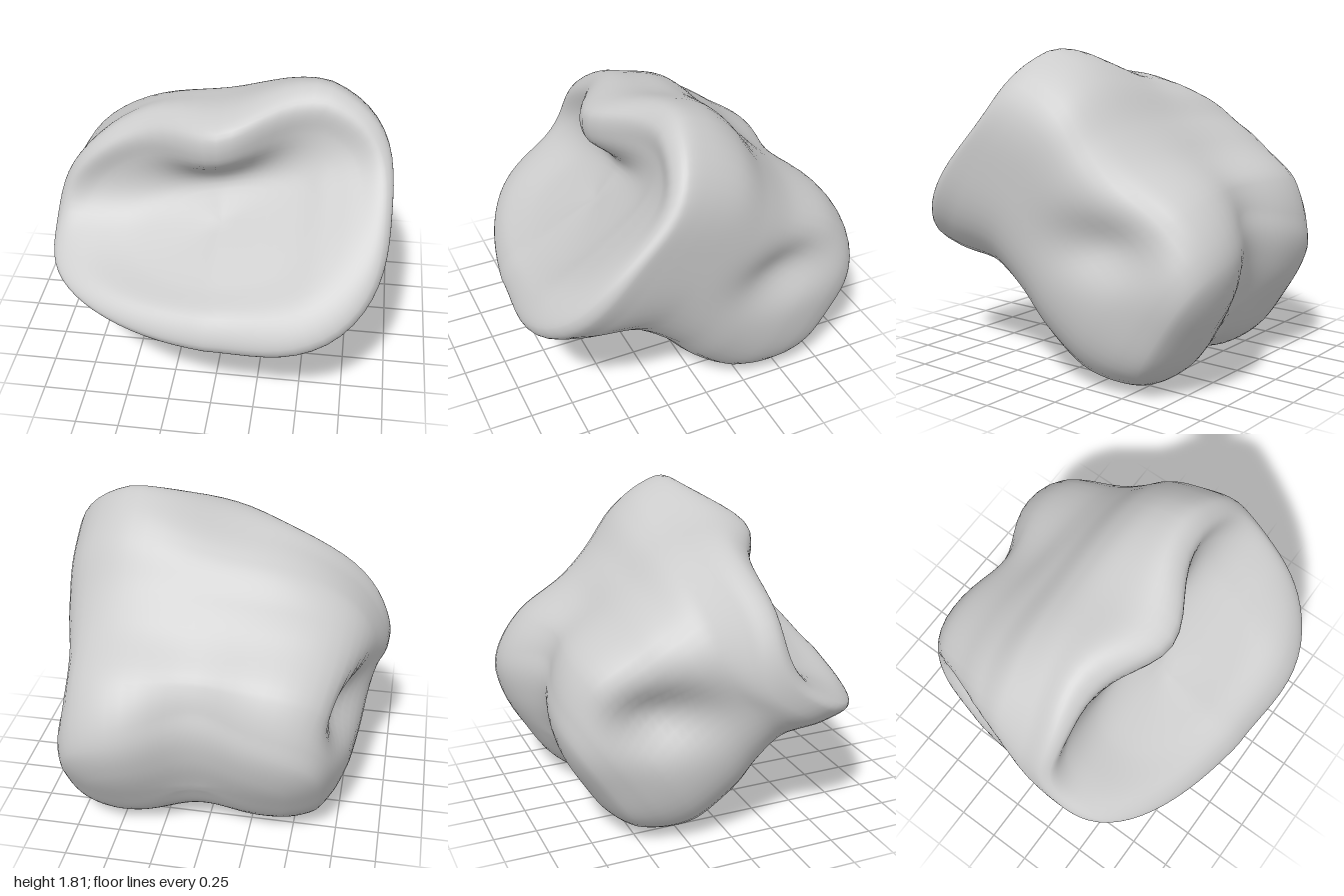
import * as THREE from 'three';
import { mergeVertices } from 'three/addons/utils/BufferGeometryUtils.js';

// Cross-sections from the root end to the dished crown:
// top edge z, y | bottom edge z, y | x limits
const RINGS = [
  [-0.86, 0.29, -0.86, 0.29, 0.06, 0.06],
  [-0.98, 0.54, -0.70, 0.09, -0.46, 0.60],
  [-1.02, 0.74, -0.53, -0.01, -0.66, 0.78],
  [-0.98, 0.90, -0.33, -0.03, -0.74, 0.83],
  [-0.84, 1.09, -0.13, 0.01, -0.80, 0.86],
  [-0.56, 1.27, 0.08, 0.17, -0.85, 0.88],
  [-0.39, 1.43, 0.25, 0.36, -0.88, 0.90],
  [-0.23, 1.65, 0.46, 0.49, -0.91, 0.92],
  [-0.08, 1.79, 0.79, 0.52, -0.95, 0.94],
  [0.08, 1.84, 0.93, 0.57, -0.96, 0.95],
  [0.19, 1.76, 0.97, 0.65, -0.92, 0.91],
  [0.23, 1.60, 0.90, 0.80, -0.78, 0.78],
  [0.30, 1.36, 0.72, 0.91, -0.48, 0.50],
  [0.42, 1.12, 0.42, 1.12, 0.02, 0.02],
];
const AROUND = 72, STEPS = 6;

const smooth = THREE.MathUtils.smoothstep;
const bell = (v, width) => Math.exp(-((v / width) ** 2));
const track = (a, b) => new THREE.CatmullRomCurve3(RINGS.map((r) => new THREE.Vector3(r[a], r[b], 0)));
const topEdge = track(0, 1), bottomEdge = track(2, 3), limits = track(4, 5);

function bodyPoint(t, angle) {
  const [T, B, W] = [topEdge, bottomEdge, limits].map((c) => c.getPoint(t / (RINGS.length - 1)));
  const crown = smooth(t, 5, 8.5);
  const root = 1 - smooth(t, 3.5, 6);

  // Rounded section, boxy at the roots and rounder at the crown
  const c = Math.cos(angle), s0 = Math.sin(angle);
  const n = THREE.MathUtils.lerp(3.5, 2.4 + 0.35 * Math.max(0, c), crown);
  const r = (Math.abs(c) ** n + Math.abs(s0) ** n) ** (-1 / n);
  const x = (W.x + W.y) / 2 + (c * r * (W.y - W.x)) / 2;

  // Groove between the two roots, deepest at the end
  const middle = bell(x - 0.04, 0.27);
  const s = s0 * r * (1 - 0.11 * root * middle);
  const half = T.clone().sub(B).multiplyScalar(0.5);
  const mid = T.clone().add(B).multiplyScalar(0.5).addScaledVector(half, s);
  const height = (s * half.length()) / 0.75;
  const end = 1 - smooth(t, 2.5, 5);
  const groove = (0.13 + 0.09 * height) * middle;
  let y = mid.y + 0.6 * end * groove;
  let z = mid.x + end * (0.8 * groove + 0.08 * smooth(-x, -0.1, 0.4));

  // Crown droops and recedes towards its lower side
  const v = x / 0.95;
  y += crown * Math.min(0.035, -0.1 + 0.23 * v) * smooth(height, -1.3, 0.2);
  if (v < 0) z += 0.15 * crown * v * (1 - smooth(height, 0, 0.8));
  else z += 0.55 * crown * v * v * (1 - v) * Math.max(0, -height);
  z -= 0.09 * crown * bell(height - 0.35, 0.4);

  // Fold of the upper rim pressed into the dish
  const upper = smooth(height, 0.1, 0.8) * bell(x, 0.32);
  z += 0.24 * smooth(t, 7.5, 10) * (1 - smooth(t, 11, 12.4)) * upper;
  y -= 0.06 * crown * upper;

  // Hollows in the flanks
  const hollow = bell(y - 0.81, 0.17) * bell(z + 0.45, 0.28) * (1 - smooth(t, 8, 9));
  return [x * (1 - hollow * (x < 0 ? 0.2 : 0.12)), y, z];
}

// Skin the sections into one closed surface
function bodyGeometry() {
  const rows = (RINGS.length - 1) * STEPS;
  const positions = [], index = [];
  for (let i = 0; i <= rows; i++) {
    for (let j = 0; j < AROUND; j++) {
      positions.push(...bodyPoint(i / STEPS, (j / AROUND) * Math.PI * 2));
    }
  }
  for (let i = 0; i < rows; i++) {
    for (let j = 0; j < AROUND; j++) {
      const a = i * AROUND + j, b = i * AROUND + ((j + 1) % AROUND);
      const d = a + AROUND, e = b + AROUND;
      if (i > 0) index.push(a, b, d);
      if (i < rows - 1) index.push(b, e, d);
    }
  }
  const geometry = new THREE.BufferGeometry();
  geometry.setAttribute('position', new THREE.Float32BufferAttribute(positions, 3));
  geometry.setIndex(index);
  const merged = mergeVertices(geometry, 1e-4);
  merged.computeVertexNormals();
  return merged;
}

export function createModel() {
  const group = new THREE.Group();
  group.name = 'lumpyBody';
  const body = new THREE.Mesh(bodyGeometry(), new THREE.MeshStandardMaterial({ color: 0xcccccc }));
  body.name = 'body';
  group.add(body);
  return group;
}
